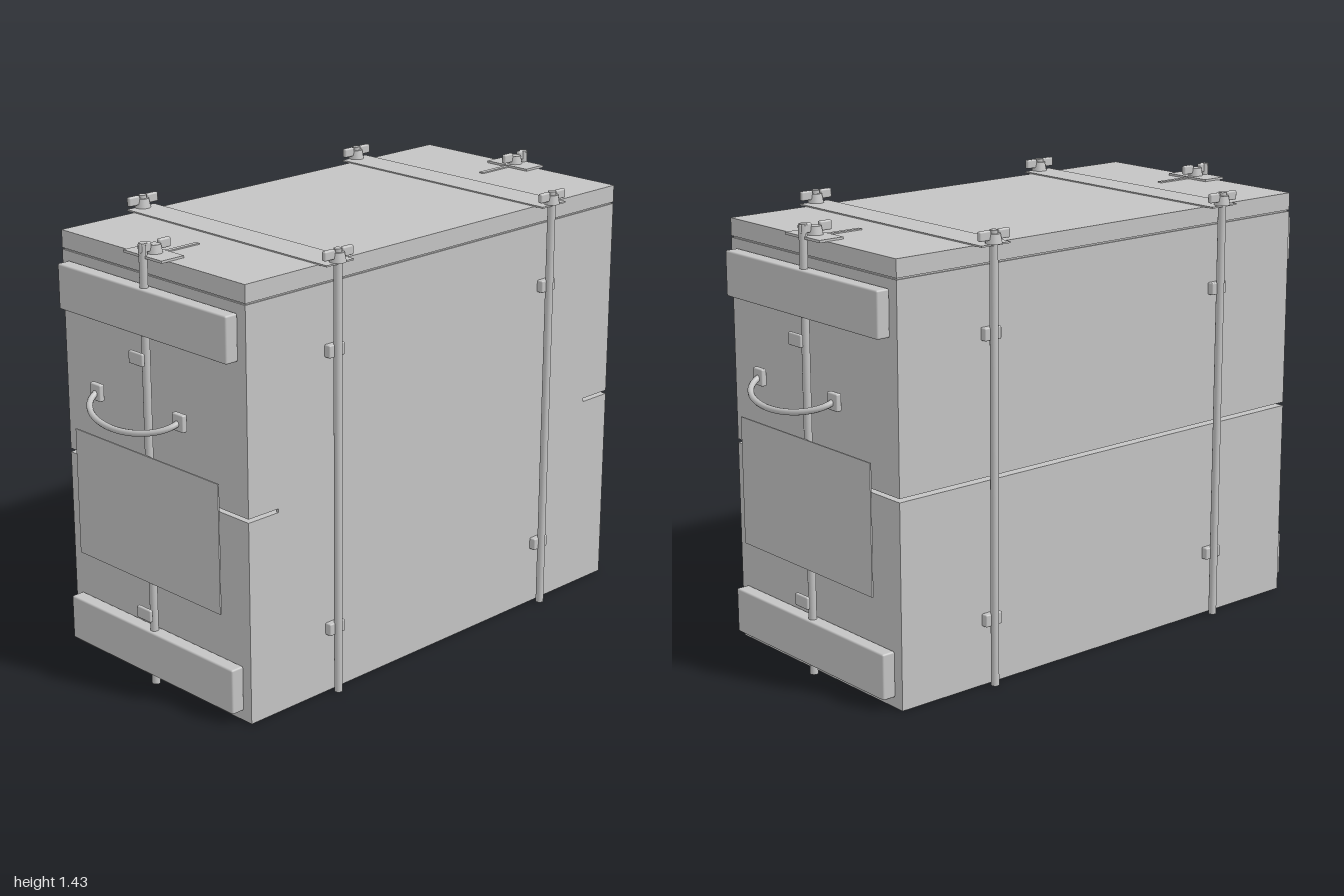
import * as THREE from 'three';
import { RoundedBoxGeometry } from 'three/addons/geometries/RoundedBoxGeometry.js';

export function createModel() {
  const root = new THREE.Group();
  root.name = 'crate';
  const grey = new THREE.MeshStandardMaterial({ color: 0xc4c4c4 });
  grey.name = 'plain grey';

  const add = (parent, name, geo, x = 0, y = 0, z = 0) => {
    const m = new THREE.Mesh(geo, grey);
    m.name = name;
    m.position.set(x, y, z);
    parent.add(m);
    return m;
  };
  // Box given by its limits on each axis
  const box = (parent, name, x0, x1, y0, y1, z0, z1, bevel = 0) => {
    const s = [x1 - x0, y1 - y0, z1 - z0];
    const geo = bevel ? new RoundedBoxGeometry(...s, 2, bevel) : new THREE.BoxGeometry(...s);
    return add(parent, name, geo, (x0 + x1) / 2, (y0 + y1) / 2, (z0 + z1) / 2);
  };

  // Crate body in two halves with an open seam, and the lid
  box(root, 'lowerBody', -0.825, 0.825, 0.008, 0.659, -0.42, 0.42);
  box(root, 'upperBody', -0.825, 0.825, 0.671, 1.328, -0.42, 0.42);
  box(root, 'lidReveal', -0.82, 0.82, 1.328, 1.333, -0.415, 0.415);
  box(root, 'lid', -0.825, 0.825, 1.333, 1.39, -0.42, 0.42);
  box(root, 'frontSeamCover', -0.705, 0.705, 0.658, 0.672, 0.412, 0.42);

  // Shallow rim under the floor
  for (const s of [-1, 1]) {
    box(root, 'floorRim', -0.825, 0.825, 0, 0.008, s * 0.39 - 0.03, s * 0.39 + 0.03);
    box(root, 'floorRim', s * 0.79 - 0.035, s * 0.79 + 0.035, 0, 0.008, -0.36, 0.36);
  }

  // Wing nut: collar, dome and two flat tabs along x
  const wingNut = (parent, x, z) => {
    const nut = new THREE.Group();
    nut.name = 'wingNut';
    nut.position.set(x, 1.394, z);
    add(nut, 'collar', new THREE.CylinderGeometry(0.02, 0.026, 0.03, 16), 0, 0.015, 0);
    for (const s of [-1, 1]) {
      box(nut, 'wingTab', s * 0.037 - 0.022, s * 0.037 + 0.022, 0.011, 0.041, -0.008, 0.008, 0.005);
    }
    parent.add(nut);
  };
  const rod = (parent, x, z) =>
    add(parent, 'tieRod', new THREE.CylinderGeometry(0.013, 0.013, 1.435, 16), x, 0.7175, z);

  // Front and back tie rods joined over the lid by straps
  for (const x of [-0.48, 0.48]) {
    box(root, 'lidStrap', x - 0.056, x + 0.056, 1.389, 1.394, -0.455, 0.455);
    for (const s of [-1, 1]) {
      rod(root, x, s * 0.444);
      wingNut(root, x, s * 0.444);
      for (const y of [0.215, 1.12]) {
        box(root, 'rodClip', x - 0.032, x + 0.032, y - 0.02, y + 0.02,
          s * 0.43 - 0.012, s * 0.43 + 0.012, 0.004);
      }
    }
  }

  // Everything on one end wall, made facing +x and turned for the other
  const makeEnd = (name) => {
    const end = new THREE.Group();
    end.name = name;
    box(end, 'lowerCleat', 0.825, 0.872, 0.035, 0.183, -0.387, 0.387, 0.006);
    box(end, 'upperCleat', 0.825, 0.872, 1.152, 1.298, -0.387, 0.387, 0.006);
    box(end, 'endPlate', 0.863, 0.868, 0.35, 0.77, -0.335, 0.335);
    rod(end, 0.849, 0);
    for (const y of [0.25, 1.085]) {
      box(end, 'rodClip', 0.879, 0.892, y - 0.02, y + 0.02, -0.032, 0.032, 0.004);
    }
    // Lid bracket with its tongue and nut
    box(end, 'lidBracket', 0.765, 0.852, 1.389, 1.397, -0.088, 0.088);
    box(end, 'bracketTongue', 0.635, 0.77, 1.388, 1.394, -0.008, 0.008);
    wingNut(end, 0.805, 0);
    add(end, 'rodTip', new THREE.CylinderGeometry(0.016, 0.016, 0.03, 4), 0.85, 1.415, 0);

    // Drooping carry handle
    const pts = [];
    for (let i = 0; i <= 12; i++) {
      const a = Math.PI * i / 12;
      const out = Math.sin(a);
      pts.push(new THREE.Vector3(0.888 + 0.102 * out, 0.933 - 0.043 * out, 0.193 * Math.cos(a)));
    }
    const curve = new THREE.CatmullRomCurve3(pts);
    add(end, 'carryHandle', new THREE.TubeGeometry(curve, 40, 0.01, 10));
    for (const s of [-1, 1]) {
      box(end, 'handleMount', 0.879, 0.898, 0.906, 0.96, s * 0.193 - 0.025, s * 0.193 + 0.025, 0.004);
    }
    return end;
  };
  const left = makeEnd('leftEnd');
  const right = makeEnd('rightEnd');
  right.rotation.y = Math.PI;
  root.add(left, right);

  return root;
}
